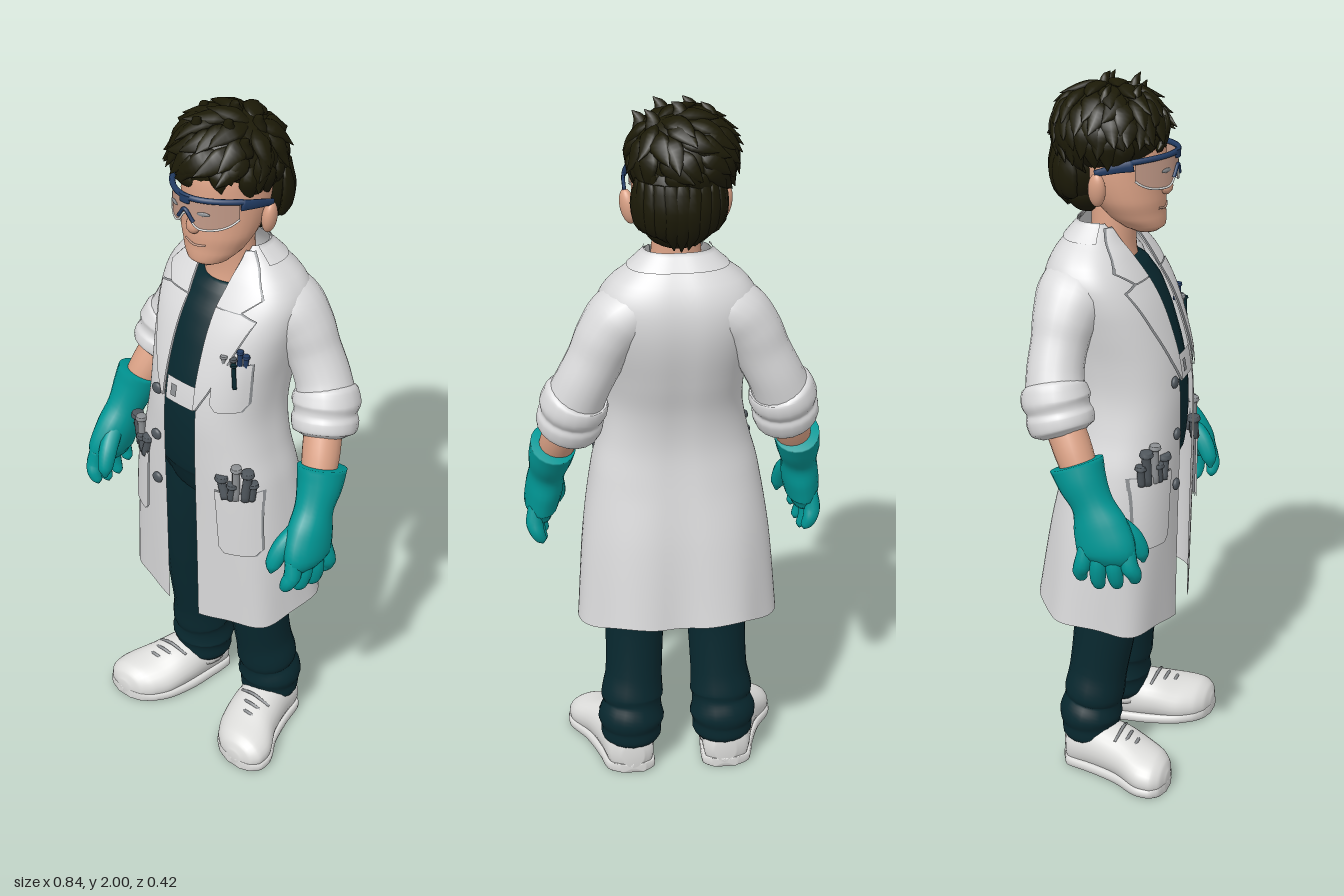
import * as THREE from 'three';
import { mergeVertices } from 'three/addons/utils/BufferGeometryUtils.js';

const V = (x, y, z) => new THREE.Vector3(x, y, z);
const mat = (name, color, side = THREE.FrontSide) => new THREE.MeshStandardMaterial({ name, color, side });

// Coat outline by height: y, half width, front z, back z
const SECTIONS = [
  [0.5, 0.28, 0.175, -0.21], [0.75, 0.262, 0.18, -0.175], [0.95, 0.232, 0.185, -0.138],
  [1.05, 0.205, 0.187, -0.127], [1.15, 0.187, 0.186, -0.137], [1.25, 0.19, 0.172, -0.165],
  [1.35, 0.205, 0.142, -0.19], [1.42, 0.215, 0.112, -0.198], [1.48, 0.212, 0.075, -0.192],
  [1.53, 0.18, 0.04, -0.172], [1.57, 0.13, 0.01, -0.143], [1.61, 0.085, -0.008, -0.11],
];
function section(y) {
  let i = 0;
  while (i < SECTIONS.length - 2 && SECTIONS[i + 1][0] < y) i++;
  const b = SECTIONS[i], c = SECTIONS[i + 1], a = SECTIONS[i - 1] ?? b, d = SECTIONS[i + 2] ?? c, h = c[0] - b[0];
  const t = THREE.MathUtils.clamp((y - b[0]) / h, 0, 1), s = t * t * (3 - 2 * t);
  return [1, 2, 3].map(k => {
    const m0 = (h * (c[k] - a[k])) / (c[0] - a[0]), m1 = (h * (d[k] - b[k])) / (d[0] - b[0]);
    return b[k] * (1 - s) + c[k] * s + m0 * t * (1 - t) ** 2 + m1 * t * t * (t - 1);
  });
}
const bend = v => Math.sign(v) * Math.abs(v) ** 0.8;
function coatPoint(th, y, off = 0) {
  const [hw, zf, zb] = section(y);
  const fade = THREE.MathUtils.clamp((0.9 - y) / 0.4, 0, 1);
  const spine = (0.025 + 0.05 * fade) * Math.exp(-(((th - Math.PI) / 0.14) ** 2));
  const k = 1 + 0.02 * fade * Math.cos(7 * th) - spine;
  return V((hw + off) * k * bend(Math.sin(th)), y - fade * (0.03 * Math.cos(th) + 0.006 * Math.cos(6 * th)),
    (zf + zb) / 2 + ((zf - zb) / 2 + off) * k * bend(Math.cos(th)));
}
function coatZ(x, y) {
  const [hw, zf, zb] = section(y);
  const s = Math.min(Math.abs(x) / hw, 0.98) ** 1.25;
  return (zf + zb) / 2 + ((zf - zb) / 2) * Math.sqrt(1 - s * s) ** 0.8;
}

// Smooth surface from a function of u and v
function grid(nu, nv, fn) {
  const pos = [], idx = [];
  for (let j = 0; j <= nv; j++) for (let i = 0; i <= nu; i++) pos.push(...fn(i / nu, j / nv).toArray());
  for (let j = 0; j < nv; j++) for (let i = 0; i < nu; i++) {
    const a = j * (nu + 1) + i, c = a + nu + 1;
    idx.push(a, a + 1, c, a + 1, c + 1, c);
  }
  let g = new THREE.BufferGeometry();
  g.setAttribute('position', new THREE.Float32BufferAttribute(pos, 3));
  g.setIndex(idx);
  g = mergeVertices(g, 1e-5);
  g.computeVertexNormals();
  return g;
}

// Closed tapering body through points [x, y, z, radiusA, radiusB]
function limb(pts, { seg = 20, per = 5, ref = V(0, 0, 1), axis = null, map = p => p } = {}) {
  const path = new THREE.CatmullRomCurve3(pts.map(p => V(p[0], p[1], p[2])));
  const radii = new THREE.CatmullRomCurve3(pts.map(p => V(p[3], p[4] ?? p[3], 0)), false, 'catmullrom', 0.4);
  const n = (pts.length - 1) * per;
  return grid(seg, n + 2, (u, v) => {
    const ring = Math.round(v * (n + 2)) - 1, t = THREE.MathUtils.clamp(ring / n, 0, 1);
    const cap = ring < 0 || ring > n ? 0 : 1, a = u * Math.PI * 2;
    const T = axis ?? path.getTangent(t), r = radii.getPoint(t);
    const A = ref.clone().cross(T).normalize(), B = T.clone().cross(A);
    return map(path.getPoint(t).addScaledVector(A, cap * r.x * Math.cos(a)).addScaledVector(B, cap * r.y * Math.sin(a)));
  });
}
const stack = rows => limb(rows.map(([y, hw, zf, zb]) => [0, y, (zf + zb) / 2, hw, (zf - zb) / 2]), { seg: 28, axis: V(0, 1, 0) });

// Thin cloth piece lying on the coat front: rows [y, inner x, outer x]
function patch(rows, s, off, grow = 0) {
  return grid(10, 24, (u, v) => {
    const f = v * (rows.length - 1), i = Math.min(Math.floor(f), rows.length - 2), t = f - i;
    const [y, x0, x1] = rows[i].map((a, k) => a + (rows[i + 1][k] - a) * t);
    const x = x0 - grow + (x1 - x0 + 2 * grow) * u;
    return V(s * x, y + (v * 2 - 1) * grow, coatZ(x, y) + off);
  });
}

export function createModel() {
  const root = new THREE.Group();
  root.name = 'labWorker';
  const white = mat('coat white', 0xdadadb, THREE.DoubleSide), seam = mat('seam grey', 0x8d9093, THREE.DoubleSide);
  const navy = mat('dark teal cloth', 0x08282f), skin = mat('skin', 0xdba286), hair = mat('hair brown', 0x1c1a07);
  const teal = mat('glove teal', 0x009896), blue = mat('frame blue', 0x223c64), steel = mat('tool steel', 0x50575d);
  const lens = mat('lens tan', 0xc29a88, THREE.DoubleSide), shoeWhite = mat('shoe white', 0xdededc);
  const add = (name, geo, m, parent = root) => {
    const mesh = new THREE.Mesh(geo, m);
    mesh.name = name;
    parent.add(mesh);
    return mesh;
  };
  const ball = (name, m, p, r, parent) => {
    const b = add(name, new THREE.SphereGeometry(1, 24, 16), m, parent);
    b.position.set(...p);
    b.scale.set(...r);
    return b;
  };

  // Shirt, neck and coat
  add('shirt', stack([[0.81, 0.1, 0.07, -0.08], [0.85, 0.17, 0.12, -0.1], [0.94, 0.19, 0.16, -0.1], [0.955, 0.19, 0.168, -0.1], [1.05, 0.18, 0.18, -0.1],
    [1.15, 0.165, 0.18, -0.1], [1.25, 0.17, 0.165, -0.13], [1.35, 0.175, 0.135, -0.15], [1.42, 0.175, 0.105, -0.15],
    [1.48, 0.14, 0.068, -0.14], [1.51, 0.09, 0.042, -0.11]]), navy);
  add('neck', stack([[1.46, 0.08, 0.05, -0.1], [1.53, 0.076, 0.036, -0.095], [1.58, 0.068, 0.036, -0.085], [1.66, 0.062, 0.04, -0.085]]), skin);
  add('coat', grid(96, 60, (u, v) => {
    const y = 0.5 + 1.11 * v, w = 0.055 + Math.max(0, y - 1.5) * 0.15;
    const th0 = Math.asin((w / section(y)[0]) ** 1.25);
    return coatPoint(th0 + (2 * Math.PI - 2 * th0) * u, y);
  }), white);
  add('collarBack', grid(40, 8, (u, v) => coatPoint(1.2 + (2 * Math.PI - 2.4) * u, 1.57 + 0.045 * v, 0.006)), white);
  const edged = (name, rows, s) => {
    add(name + 'Seam', patch(rows, s, 0.006, 0.002), seam);
    add(name, patch(rows, s, 0.011), white);
  };
  for (const s of [-1, 1]) {
    edged('lapel', [[1.19, 0.054, 0.06], [1.25, 0.053, 0.09], [1.35, 0.052, 0.13], [1.455, 0.05, 0.165], [1.468, 0.05, 0.125]], s);
    edged('collar', [[1.47, 0.05, 0.122], [1.505, 0.055, 0.16], [1.55, 0.06, 0.125], [1.6, 0.068, 0.085]], s);
    edged('hipPocket', [[0.74, 0.15, 0.225], [0.76, 0.135, 0.237], [0.94, 0.125, 0.225]], s);
    edged('pocketHem', [[0.92, 0.123, 0.227], [0.95, 0.123, 0.224]], s);
  }
  edged('chestPocket', [[1.2, 0.115, 0.165], [1.22, 0.1, 0.175], [1.34, 0.095, 0.178]], 1);
  add('waistTag', patch([[1.18, -0.05, 0.05], [1.25, -0.05, 0.05]], 1, 0.002), white);
  add('tagClip', patch([[1.2, -0.03, -0.01], [1.235, -0.03, -0.01]], 1, 0.006), seam);
  for (const y of [1.19, 1.04, 0.89]) ball('button', steel, [-0.087, y, coatZ(0.087, y) + 0.006], [0.017, 0.017, 0.009]);

  // Pocket tools and pens
  const rod = (name, x, y0, y1, r, m, lean, out = 0) => {
    const z = coatZ(x, y0) + out;
    add(name, limb([[x, y0, z, r], [x + lean, y1 - r * 1.5, z, r], [x + lean, y1 - r, z, r * 1.5], [x + lean, y1, z, r * 1.3]], { seg: 10 }), m);
  };
  for (const s of [-1, 1]) [[0.15, 1.0, 0.013, steel], [0.175, 1.04, 0.011, seam], [0.195, 1.03, 0.013, steel], [0.163, 0.985, 0.011, steel], [0.207, 0.99, 0.011, steel]].forEach(
    ([x, y, r, m], i) => rod('tool', s * x, 0.93, y, r, m, s * [-0.014, 0.002, 0.01, 0.006, 0.006][i], 0.004));
  [[0.112, seam, 1.365], [0.135, steel, 1.36], [0.15, blue, 1.385], [0.162, blue, 1.37]].forEach(([x, m, y]) => rod('pen', x, 1.33, y, 0.007, m, 0.003));
  rod('clippedPen', 0.152, 1.275, 1.35, 0.006, navy, -0.004, 0.012);

  for (const s of [-1, 1]) {
    const side = (rows, o) => limb(rows.map(([x, ...r]) => [s * x, ...r]), o);
    const g = new THREE.Group();
    g.name = s > 0 ? 'leftLimbs' : 'rightLimbs';
    root.add(g);

    // Arm: sleeve, rolled cuff, forearm
    add('sleeve', side([[0.07, 1.485, -0.075, 0.06, 0.08], [0.12, 1.455, -0.08, 0.08, 0.1], [0.16, 1.425, -0.087, 0.088, 0.1], [0.195, 1.38, -0.095, 0.083, 0.088],
      [0.225, 1.32, -0.1, 0.077], [0.26, 1.25, -0.1, 0.077], [0.285, 1.19, -0.09, 0.082]]), white, g);
    add('cuff', side([[0.274, 1.225, -0.1, 0.07], [0.278, 1.215, -0.097, 0.087], [0.284, 1.185, -0.09, 0.094], [0.289, 1.16, -0.082, 0.086],
      [0.293, 1.14, -0.076, 0.092], [0.299, 1.11, -0.066, 0.087], [0.303, 1.095, -0.06, 0.06]]), white, g);
    add('forearm', side([[0.295, 1.14, -0.07, 0.052], [0.32, 1.06, -0.03, 0.052], [0.34, 0.99, 0.005, 0.045]]), skin, g);

    // Glove with spread fingers and thumb
    add('glove', side([[0.338, 1.033, -0.015, 0.064, 0.075], [0.346, 0.99, 0.003, 0.061, 0.067], [0.355, 0.93, 0.035, 0.051, 0.057],
      [0.363, 0.87, 0.06, 0.053, 0.075], [0.372, 0.81, 0.08, 0.048, 0.082], [0.372, 0.775, 0.083, 0.03, 0.068]]), teal, g);
    for (let k = 0; k < 4; k++) {
      const z = 0.03 + k * 0.036, f = (k - 1.5) * 0.012, d = [0.02, 0, 0.005, 0.025][k], x = 0.38 + (k - 1.5) * -0.006;
      add('finger', side([[x, 0.82, z, 0.022], [x + 0.006, 0.77, z + f * 0.5, 0.024], [x, 0.725 + d, z + f, 0.021],
        [x - 0.012, 0.7 + d, z + f, 0.015], [x - 0.016, 0.688 + d, z + f, 0.003]], { seg: 12 }), teal, g);
    }
    add('thumb', side([[0.347, 0.89, 0.085, 0.025], [0.33, 0.84, 0.135, 0.027], [0.32, 0.79, 0.16, 0.022], [0.316, 0.76, 0.165, 0.005]], { seg: 12 }), teal, g);

    // Trouser leg with gathered ankle
    add('trouserLeg', side([[0.095, 0.92, 0.01, 0.1, 0.11], [0.1, 0.75, 0.005, 0.098, 0.11], [0.112, 0.55, -0.005, 0.09, 0.1], [0.118, 0.45, -0.01, 0.084, 0.09],
      [0.124, 0.3, -0.03, 0.082, 0.083], [0.13, 0.23, -0.04, 0.09, 0.086], [0.13, 0.205, -0.044, 0.084, 0.082], [0.134, 0.16, -0.05, 0.096, 0.09],
      [0.134, 0.13, -0.05, 0.088, 0.083], [0.134, 0.1, -0.05, 0.087, 0.082], [0.134, 0.08, -0.05, 0.075, 0.07]]), navy, g);

    // Shoe: rounded upper, sole and laces, toes turned out
    const last = [[0.135, 0.055, -0.122, 0.03, 0.04], [0.14, 0.06, -0.1, 0.066, 0.075], [0.15, 0.065, -0.03, 0.075, 0.078],
      [0.17, 0.06, 0.06, 0.086, 0.07], [0.2, 0.045, 0.13, 0.097, 0.062], [0.216, 0.04, 0.175, 0.085, 0.055],
      [0.222, 0.036, 0.2, 0.06, 0.042], [0.224, 0.032, 0.213, 0.022, 0.02]];
    const o = { ref: V(0, 1, 0), axis: V(0, 0, 1), seg: 28 };
    add('shoe', side(last, { ...o, map: p => p.setY(Math.max(p.y, 0.004)) }), shoeWhite, g);
    add('sole', side(last.map(([x, , z, a]) => [x, 0.015, z, a + 0.004, 0.05]),
      { ...o, map: p => p.setY(THREE.MathUtils.clamp(p.y, 0, 0.028)) }), shoeWhite, g);
    add('shoeCollar', side([[0.137, 0.06, -0.04, 0.07, 0.078], [0.137, 0.11, -0.045, 0.07, 0.072], [0.137, 0.125, -0.045, 0.064, 0.068]]), shoeWhite, g);
    add('tongue', side([[0.15, 0.1, 0.0, 0.035, 0.03], [0.165, 0.11, 0.05, 0.035, 0.022], [0.185, 0.09, 0.1, 0.03, 0.018]], o), shoeWhite, g);
    [0.05, 0.075, 0.1].forEach((z, i) => add('lace', side([[0.115 + i * 0.014, 0.117 - i * 0.01, z, 0.004],
      [0.168 + i * 0.01, 0.137 - i * 0.012, z + 0.008, 0.005], [0.22 + i * 0.008, 0.117 - i * 0.01, z, 0.004]], { seg: 6, ref: V(0, 1, 0) }), seam, g));
  }

  // Head and face
  add('head', stack([[1.585, 0.035, 0.1, 0.03], [1.6, 0.06, 0.118, 0.0], [1.63, 0.085, 0.118, -0.04], [1.68, 0.108, 0.117, -0.08],
    [1.74, 0.116, 0.114, -0.12], [1.79, 0.115, 0.118, -0.14], [1.85, 0.11, 0.11, -0.15], [1.91, 0.08, 0.07, -0.12], [1.94, 0.03, 0.02, -0.06]]), skin);
  for (const s of [-1, 1]) {
    ball('ear', skin, [s * 0.127, 1.718, -0.028], [0.02, 0.048, 0.026]).rotation.set(0.15, s * 0.4, -s * 0.2);
    ball('eye', seam, [s * 0.05, 1.765, 0.137], [0.018, 0.006, 0.003]).rotation.y = s * 0.4;
  }
  add('nose', limb([[0, 1.765, 0.105, 0.012], [0, 1.73, 0.12, 0.015], [0, 1.705, 0.122, 0.021, 0.017], [0, 1.69, 0.116, 0.012]], { seg: 14 }), skin);
  add('mouth', new THREE.TubeGeometry(new THREE.CatmullRomCurve3([V(-0.034, 1.655, 0.112), V(0, 1.65, 0.119), V(0.034, 1.655, 0.112)]), 12, 0.003, 6), lens);

  // Safety glasses
  const lensZ = x => 0.15 - 0.085 * (x / 0.12) ** 2;
  const lensLow = x => 1.718 + 0.04 * Math.exp(-((x / 0.022) ** 2)) + 0.03 * (x / 0.115) ** 6;
  add('lens', grid(32, 6, (u, v) => {
    const x = -0.115 + 0.23 * u;
    return V(x, lensLow(x) + (1.8 - lensLow(x)) * v, lensZ(x));
  }), lens);
  const edge = (name, m, y, r, half, out = 0) => add(name, new THREE.TubeGeometry(new THREE.CatmullRomCurve3(
    Array.from({ length: 25 }, (_, i) => half * (i / 12 - 1)).map(x => V(x, y(x), lensZ(x) + out))), 48, r, 8), m);
  edge('glassesBar', blue, x => 1.806 - 0.008 * (x / 0.12) ** 2, 0.008, 0.12);
  edge('lensRim', shoeWhite, lensLow, 0.003, 0.115);
  edge('noseBridge', blue, x => lensLow(x) + 0.012, 0.005, 0.026, 0.003);
  add('bridgeBlock', limb([[0, 1.812, 0.152, 0.02, 0.006], [0, 1.79, 0.153, 0.017, 0.006]], { seg: 10 }), blue);
  for (const s of [-1, 1]) add('glassesArm', limb([[s * 0.12, 1.79, 0.07, 0.006, 0.016], [s * 0.133, 1.783, 0.03, 0.005, 0.013],
    [s * 0.136, 1.765, -0.03, 0.005, 0.009]], { seg: 10, ref: V(0, 1, 0) }), blue);

  // Hair: cap, nape and pointed locks sweeping from an off-centre crown
  const hairGroup = new THREE.Group();
  hairGroup.name = 'hair';
  root.add(hairGroup);
  const C = V(-0.015, 1.855, -0.03), R = V(0.136, 0.117, 0.148);
  ball('hairCap', hair, C.toArray(), R.toArray(), hairGroup);
  ball('nape', hair, [-0.005, 1.765, -0.1], [0.118, 0.125, 0.09], hairGroup);
  ball('napeEnd', hair, [0, 1.69, -0.09], [0.095, 0.068, 0.062], hairGroup);
  let seed = 7;
  const rnd = () => (seed = (seed * 16807) % 2147483647) / 2147483647;
  const P = V(0.6, 1, -0.1).normalize(), U = V(0, 0, 1).cross(P).normalize(), W = P.clone().cross(U);
  const dir = (phi, th) => P.clone().multiplyScalar(Math.cos(phi)).addScaledVector(U, Math.sin(phi) * Math.cos(th)).addScaledVector(W, Math.sin(phi) * Math.sin(th));
  const at = (phi, th, k) => dir(phi, th).multiply(R).multiplyScalar(k).add(C);
  const bare = (p, slack) => p.y < (p.z > 0.03 ? 1.81 + 0.03 * slack : p.z > -0.045 ? 1.755 : 1.68);
  for (let row = 0; row < 8; row++) {
    const n = 5 + Math.round(12 * Math.sin(Math.min(1.5, row * 0.28)));
    for (let i = 0; i < n; i++) {
      const phi = 0.08 + row * 0.26 + rnd() * 0.12, th = ((i + 0.5 * (row % 2) + rnd() * 0.4) / n) * Math.PI * 2;
      const tw = rnd() * 0.5 - 0.25, lift = 1.1 + rnd() * 0.12, slack = rnd();
      let len = 0.8;
      while (len > 0.3 && bare(at(phi + len, th + tw, lift), slack)) len -= 0.08;
      if (len <= 0.3) continue;
      const p = (f, k) => at(phi + len * f, th + tw * f * f, k).toArray();
      add('lock', limb([[...p(0, 0.96), 0.012, 0.006], [...p(0.35, 1.015), 0.03, 0.011], [...p(0.7, 1.05), 0.021, 0.01],
        [...p(1, lift), 0.001, 0.001]], { seg: 8, per: 3, ref: dir(phi + 0.4, th) }), hair, hairGroup);
    }
  }
  // Short tufts standing up along the top
  [[-0.09, -0.02], [-0.05, 0.05], [-0.01, -0.05], [0.03, 0.02], [0.06, -0.06], [0.085, 0.02]].forEach(([x, z]) => {
    const y = C.y + R.y * Math.sqrt(1 - ((x - C.x) / R.x) ** 2 - ((z - C.z) / R.z) ** 2);
    add('tuft', limb([[x, y - 0.02, z, 0.025, 0.02], [x + 0.005, y + 0.012, z + 0.005, 0.017, 0.012],
      [x + 0.024, Math.min(y + 0.034, 1.998), z + 0.012, 0.001, 0.001]], { seg: 8, per: 3 }), hair, hairGroup);
  });
  for (let i = -5; i <= 5; i++) {
    const a = i * 0.28, q = (k, y) => [0.116 * k * Math.sin(a), y, -0.098 - 0.088 * k * Math.cos(a)], low = 1.62 + Math.abs(i) * 0.01 + rnd() * 0.025;
    add('napeLock', limb([[...q(0.96, 1.82), 0.015, 0.006], [...q(1.02, 1.75), 0.03, 0.011], [...q(0.88, 1.69), 0.022, 0.011],
      [...q(0.58, low), 0.002, 0.002]], { seg: 8, per: 3, ref: V(Math.sin(a), 0, -Math.cos(a)) }), hair, hairGroup);
  }
  return root;
}
